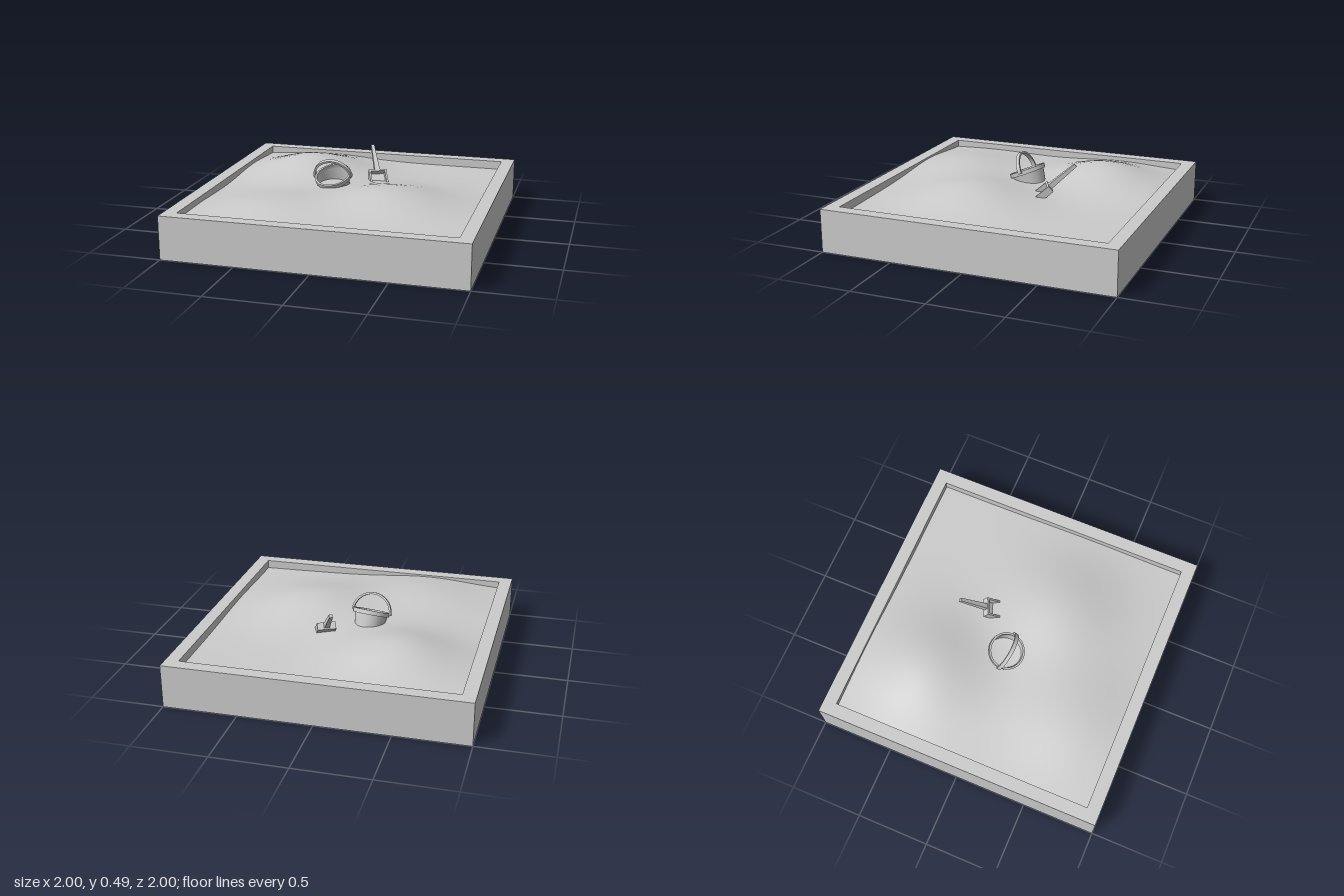
import * as THREE from 'three';

const mat = new THREE.MeshStandardMaterial({ color: 0xcccccc });
const thin = new THREE.MeshStandardMaterial({ color: 0xcccccc, side: THREE.DoubleSide });

function add(parent, name, geometry, material = mat, x = 0, y = 0, z = 0) {
  const mesh = new THREE.Mesh(geometry, material);
  mesh.name = name;
  mesh.position.set(x, y, z);
  parent.add(mesh);
  return mesh;
}

// Sand surface: flat bed plus three soft mounds [x, z, height, spread]
const mounds = [
  [-0.43, -0.45, 0.14, 0.39],
  [0.32, 0.22, 0.12, 0.41],
  [-0.38, 0.58, 0.085, 0.43],
];
function sandHeight(x, z) {
  return mounds.reduce(
    (h, [mx, mz, a, s]) => h + a * Math.exp(-((x - mx) ** 2 + (z - mz) ** 2) / (s * s)), 0.235);
}

function createFrame() {
  const frame = new THREE.Group();
  frame.name = 'boxFrame';
  const W = 0.91;
  const H = 0.295;
  const shape = new THREE.Shape([[-1, -1], [1, -1], [1, 1], [-1, 1]].map(p => new THREE.Vector2(...p)));
  shape.holes.push(new THREE.Path([[-W, -W], [-W, W], [W, W], [W, -W]].map(p => new THREE.Vector2(...p))));
  const walls = new THREE.ExtrudeGeometry(shape, { depth: H, bevelEnabled: false });
  walls.rotateX(-Math.PI / 2);
  add(frame, 'walls', walls);
  add(frame, 'floor', new THREE.BoxGeometry(2 * W, 0.03, 2 * W), mat, 0, 0.015, 0);
  return frame;
}

function createSand() {
  const geometry = new THREE.PlaneGeometry(1.82, 1.82, 24, 24).rotateX(-Math.PI / 2);
  const p = geometry.attributes.position;
  for (let i = 0; i < p.count; i++) p.setY(i, sandHeight(p.getX(i), p.getZ(i)));
  geometry.computeVertexNormals();
  const sand = new THREE.Mesh(geometry, mat);
  sand.name = 'sand';
  return sand;
}

// Bucket, with its origin at the middle of the rim
function createBucket() {
  const bucket = new THREE.Group();
  bucket.name = 'bucket';
  const v = pts => pts.map(p => new THREE.Vector2(...p));
  add(bucket, 'bucketBody', new THREE.LatheGeometry(v([[0.092, -0.15], [0.118, 0]]), 32), thin);
  const base = new THREE.CircleGeometry(0.098, 32).rotateX(-Math.PI / 2);
  add(bucket, 'bucketFloor', base, thin, 0, -0.12, 0);

  // Raised band around the rim, one lathe per side to keep its edges sharp
  const band = v([[0.114, -0.028], [0.126, -0.028], [0.128, 0.002], [0.114, 0.002], [0.114, -0.028]]);
  for (let i = 0; i < 4; i++) {
    add(bucket, 'bucketRim', new THREE.LatheGeometry([band[i], band[i + 1]], 32), thin);
  }

  // Flat half-hoop handle
  const hoop = new THREE.Shape();
  hoop.absarc(0, 0, 0.139, 0, Math.PI, false);
  hoop.absarc(0, 0, 0.125, Math.PI, 0, true);
  hoop.closePath();
  const handle = new THREE.ExtrudeGeometry(hoop, { depth: 0.026, bevelEnabled: false, curveSegments: 28 });
  add(bucket, 'bucketHandle', handle, mat, 0, -0.014, -0.013);

  bucket.position.set(-0.137, 0.364, 0.015);
  bucket.rotation.set(0.4, 0, 0.09);
  return bucket;
}

// Shovel, with its origin where the handle meets the scoop
function createShovel() {
  const shovel = new THREE.Group();
  shovel.name = 'shovel';
  const grip = new THREE.CylinderGeometry(0.016, 0.026, 0.225, 4).toNonIndexed();
  grip.rotateY(Math.PI / 4);
  grip.computeVertexNormals();
  add(shovel, 'shovelHandle', grip, mat, 0, 0.112, 0.012);
  add(shovel, 'scoopTop', new THREE.BoxGeometry(0.127, 0.014, 0.045), mat, 0, -0.007, 0.012);
  add(shovel, 'scoopPlate', new THREE.BoxGeometry(0.127, 0.13, 0.012), mat, 0, -0.065, -0.01);
  for (const side of [-1, 1]) {
    add(shovel, 'scoopSide', new THREE.BoxGeometry(0.013, 0.12, 0.045), mat, side * 0.057, -0.06, 0.012);
  }
  shovel.position.set(0.11, 0.33, -0.257);
  shovel.rotation.set(-0.87, 0.44, 0, 'YXZ');
  return shovel;
}

export function createModel() {
  const model = new THREE.Group();
  model.name = 'sandbox';
  model.add(createFrame(), createSand(), createBucket(), createShovel());
  return model;
}
